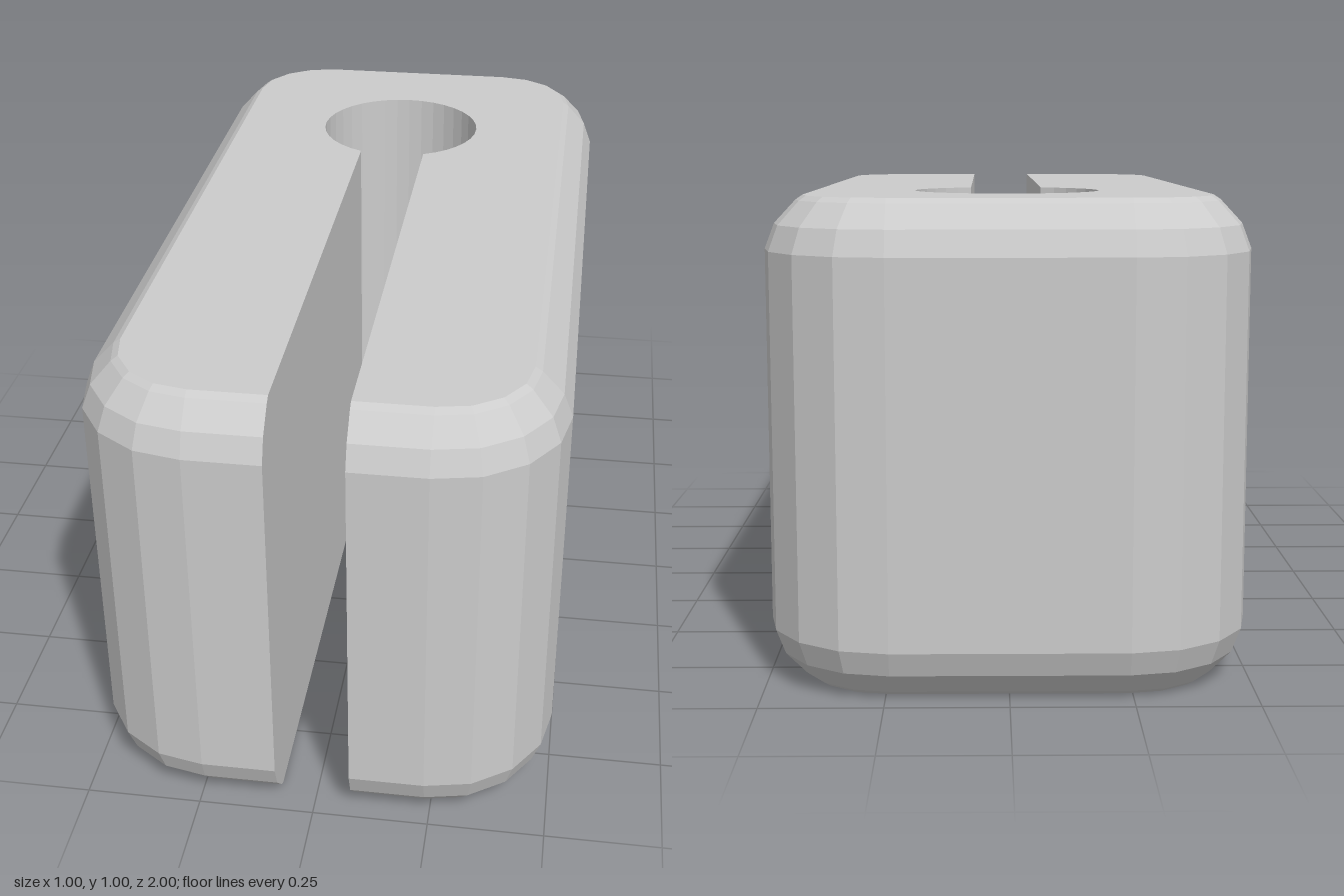
import * as THREE from 'three';

const HALF_X = 0.5, HALF_Z = 1, CORNER = 0.26;   // body footprint
const SLOT = 0.08, HOLE_R = 0.2, HOLE_Z = -0.5;  // keyhole cut
const GAP = Math.asin(SLOT / HOLE_R);            // half angle where slot meets hole
const SLOT_END = HOLE_Z + HOLE_R * Math.cos(GAP);
const HOLE_SEGMENTS = 32;

// Edge rounding as [inset, height], bottom to top
const lower = [[0.08, 0], [0.065, 0.01], [0.02, 0.058], [0, 0.11]];
const profile = [...lower, ...lower.map(([i, y]) => [i, 1 - y]).reverse()];

// Rounded footprint as [x, z], open at the slot mouth
function outline(inset) {
  const r = CORNER - inset, cx = HALF_X - CORNER, cz = HALF_Z - CORNER;
  const pts = [[SLOT, HALF_Z - inset]];
  [[1, 1], [1, -1], [-1, -1], [-1, 1]].forEach(([sx, sz], corner) => {
    for (let k = 0; k <= 4; k++) {
      const a = Math.PI / 2 - (corner + k / 4) * Math.PI / 2;
      pts.push([sx * cx + r * Math.cos(a), sz * cz + r * Math.sin(a)]);
    }
  });
  pts.push([-SLOT, HALF_Z - inset]);
  return pts;
}

// Outer skin lofted through the insets
function skinGeometry() {
  const rings = profile.map(([inset, y]) => outline(inset).map(([x, z]) => [x, y, z]));
  const pos = [];
  for (let j = 0; j < rings.length - 1; j++) {
    for (let k = 0; k < rings[j].length - 1; k++) {
      const a = rings[j][k], b = rings[j][k + 1], c = rings[j + 1][k + 1], d = rings[j + 1][k];
      pos.push(...a, ...b, ...c, ...a, ...c, ...d);
    }
  }
  const g = new THREE.BufferGeometry();
  g.setAttribute('position', new THREE.Float32BufferAttribute(pos, 3));
  g.computeVertexNormals();
  return g;
}

// Flat cap with the keyhole cut into it; dir is 1 for top, -1 for bottom
function capGeometry(dir) {
  const pts = outline(profile[0][0]);
  for (let k = 0; k <= HOLE_SEGMENTS; k++) {
    const t = -GAP - (k / HOLE_SEGMENTS) * (2 * Math.PI - 2 * GAP);
    pts.push([HOLE_R * Math.sin(t), HOLE_Z + HOLE_R * Math.cos(t)]);
  }
  const shape = new THREE.Shape(pts.map(([x, z]) => new THREE.Vector2(x, -dir * z)));
  return new THREE.ShapeGeometry(shape).rotateX(-dir * Math.PI / 2);
}

// Slot side wall following the rounded front edge
function slotWallGeometry(side) {
  const pts = [[SLOT_END, 0], ...profile.map(([i, y]) => [HALF_Z - i, y]), [SLOT_END, 1]];
  const shape = new THREE.Shape(pts.map(([z, y]) => new THREE.Vector2(side * z, y)));
  return new THREE.ShapeGeometry(shape).rotateY(-side * Math.PI / 2).translate(side * SLOT, 0, 0);
}

export function createModel() {
  const group = new THREE.Group();
  group.name = 'slottedBlock';
  const material = new THREE.MeshStandardMaterial({
    color: 0xcccccc, flatShading: true, side: THREE.DoubleSide,
  });
  const add = (name, geometry) => {
    const mesh = new THREE.Mesh(geometry, material);
    mesh.name = name;
    group.add(mesh);
  };

  add('outerSkin', skinGeometry());
  add('topFace', capGeometry(1).translate(0, 1, 0));
  add('bottomFace', capGeometry(-1));
  add('leftSlotWall', slotWallGeometry(1));
  add('rightSlotWall', slotWallGeometry(-1));

  // Round hole at the end of the slot
  add('holeWall', new THREE.CylinderGeometry(HOLE_R, HOLE_R, 1, HOLE_SEGMENTS, 1, true,
    GAP, 2 * Math.PI - 2 * GAP).translate(0, 0.5, HOLE_Z));

  return group;
}
